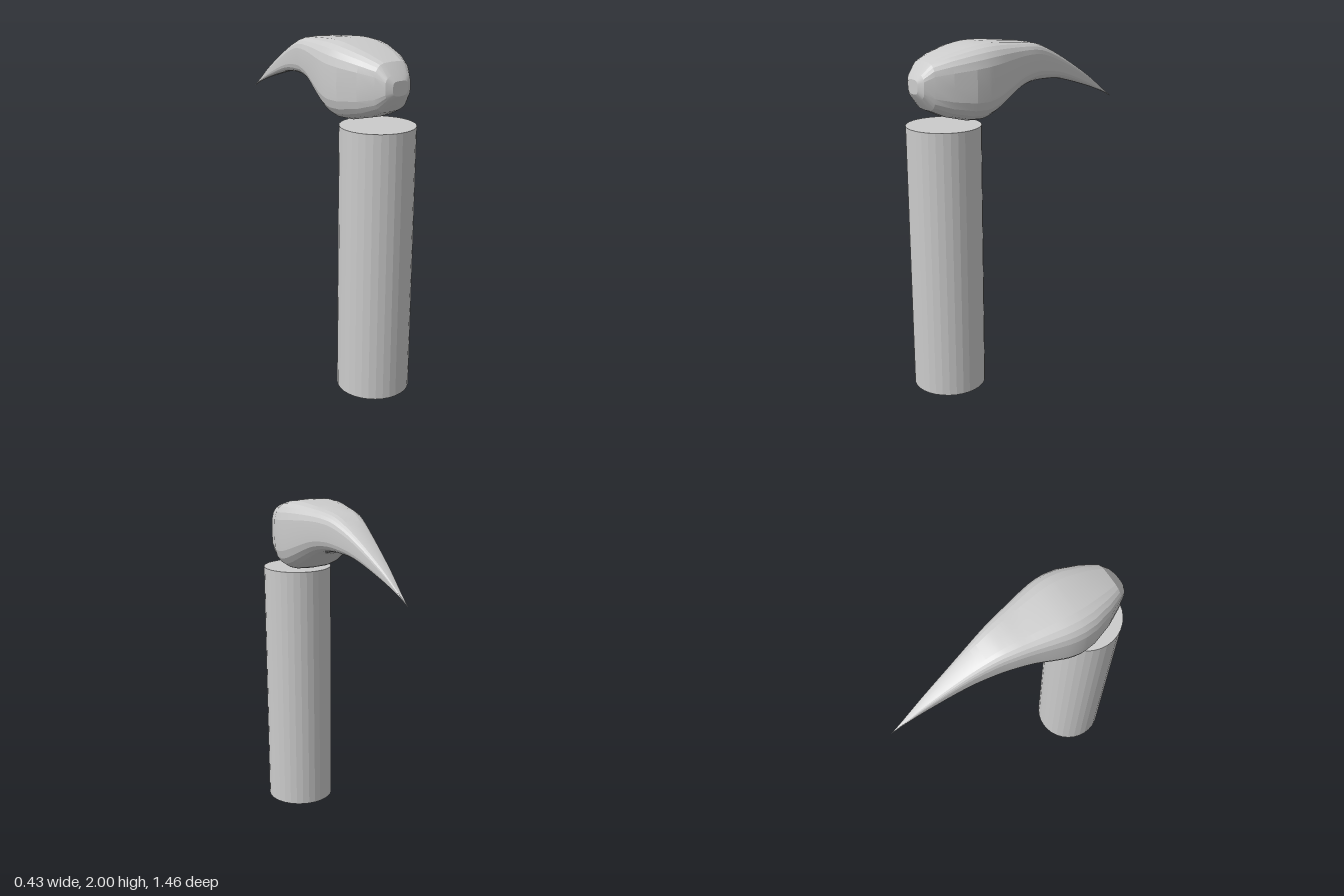
import * as THREE from 'three';
import { toCreasedNormals } from 'three/addons/utils/BufferGeometryUtils.js';

const grey = new THREE.MeshStandardMaterial({ color: 0xcccccc });

// Head cross-sections from blunt nose to pointed tail: [z, top, bottom, half width]
const sections = [
  [0.71, 1.83, 1.75, 0.05], [0.69, 1.86, 1.72, 0.085], [0.64, 1.92, 1.655, 0.118],
  [0.55, 1.955, 1.612, 0.165], [0.43, 1.985, 1.58, 0.205], [0.36, 1.996, 1.576, 0.213],
  [0.28, 2.0, 1.6, 0.208], [0.19, 1.995, 1.65, 0.188], [0.08, 1.984, 1.712, 0.158],
  [-0.02, 1.973, 1.74, 0.133], [-0.12, 1.948, 1.745, 0.107], [-0.28, 1.869, 1.731, 0.072],
  [-0.5, 1.735, 1.666, 0.034], [-0.64, 1.632, 1.612, 0.012], [-0.725, 1.57, 1.569, 0.0005],
];
const SIDES = 24;

// Signed power that squares off an ellipse
const squared = (v, n) => Math.sign(v) * Math.abs(v) ** (2 / n);

function createHeadGeometry() {
  // Coarse facets on the nose, finely interpolated rings on the body and tail
  const spline = (pick) => new THREE.CatmullRomCurve3(sections.map(pick), false, 'catmullrom');
  const heights = spline(([z, top, bottom]) => new THREE.Vector3(z, top, bottom));
  const widths = spline(([z, , , w]) => new THREE.Vector3(z, w, 0));
  const last = sections.length - 1;
  const steps = [];
  for (let i = 0; i < last; i++) {
    const parts = i < 5 ? 1 : 4;
    for (let k = 0; k < parts; k++) steps.push((i + k / parts) / last);
  }
  steps.push(1);

  const positions = [], index = [];
  for (const t of steps) {
    const { x: z, y: top, z: bottom } = heights.getPoint(t);
    const w = widths.getPoint(t).y;
    const middle = (top + bottom) / 2, h = (top - bottom) / 2;
    for (let j = 0; j < SIDES; j++) {
      const a = (j / SIDES) * Math.PI * 2;
      const n = Math.sin(a) > 0 ? 3.6 : 3.1;
      positions.push(w * squared(Math.cos(a), n), middle + h * squared(Math.sin(a), n), z);
    }
  }
  for (let i = 0; i < steps.length - 1; i++) {
    for (let j = 0; j < SIDES; j++) {
      const a = i * SIDES + j, b = i * SIDES + (j + 1) % SIDES;
      index.push(a, a + SIDES, b, b, a + SIDES, b + SIDES);
    }
  }
  // Nose and tail caps
  const end = (steps.length - 1) * SIDES;
  for (let j = 1; j < SIDES - 1; j++) {
    index.push(0, j, j + 1, end, end + j + 1, end + j);
  }
  const geometry = new THREE.BufferGeometry();
  geometry.setAttribute('position', new THREE.Float32BufferAttribute(positions, 3));
  geometry.setIndex(index);
  return toCreasedNormals(geometry, 0.2);
}

export function createModel() {
  const model = new THREE.Group();
  model.name = 'pickHammer';

  const handle = new THREE.Mesh(
    toCreasedNormals(new THREE.CylinderGeometry(0.21, 0.21, 1.56, 32), 0.1), grey);
  handle.name = 'handle';
  handle.position.set(0.005, 0.78, 0.525);
  model.add(handle);

  const head = new THREE.Mesh(createHeadGeometry(), grey);
  head.name = 'head';
  model.add(head);

  return model;
}
